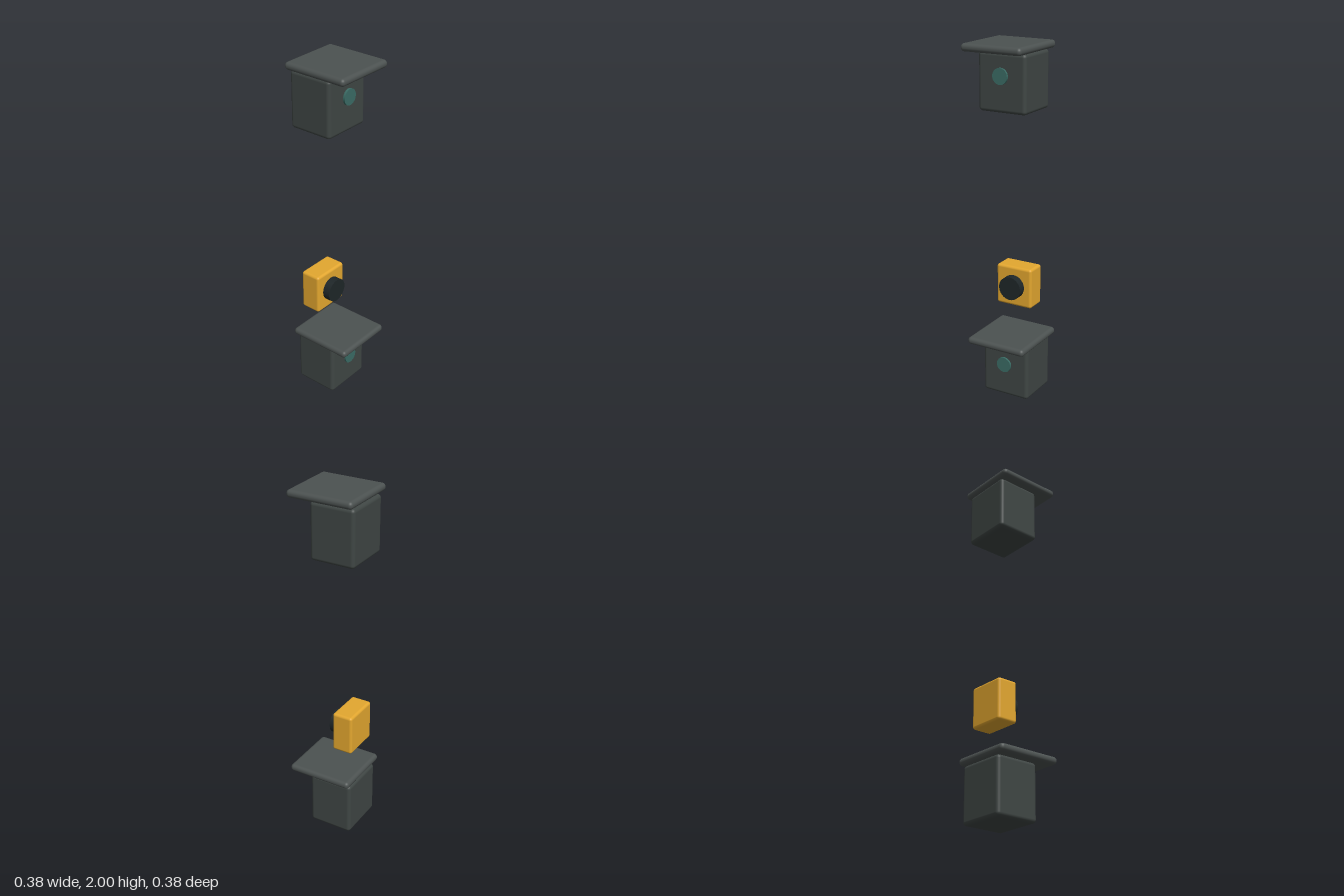
import * as THREE from 'three';
import { RoundedBoxGeometry } from 'three/addons/geometries/RoundedBoxGeometry.js';

const mat = (color) => new THREE.MeshStandardMaterial({ color });
const housingMat = mat(0x3f4644);
const roofMat = mat(0x4c5251);
const lensMat = mat(0x3a6b64);
const yellowMat = mat(0xe3a72f);
const darkMat = mat(0x1e2628);

// Rounded box given by its extents on each axis
function roundedBox(name, [x0, x1], [y0, y1], [z0, z1], radius, material) {
  const mesh = new THREE.Mesh(
    new RoundedBoxGeometry(x1 - x0, y1 - y0, z1 - z0, 4, radius), material);
  mesh.position.set((x0 + x1) / 2, (y0 + y1) / 2, (z0 + z1) / 2);
  mesh.name = name;
  return mesh;
}

// Disc whose axis runs along x
function disc(name, x0, x1, y, z, radius, material) {
  const geometry = new THREE.CylinderGeometry(radius, radius, x1 - x0, 32);
  geometry.rotateZ(-Math.PI / 2);
  const mesh = new THREE.Mesh(geometry, material);
  mesh.position.set((x0 + x1) / 2, y, z);
  mesh.name = name;
  return mesh;
}

// Signal head: housing, overhanging roof and a lens floating off its +x face
function signalHead(name, y, z) {
  const head = new THREE.Group();
  head.name = name;
  head.add(
    roundedBox('housing', [-0.184, 0.073], [0, 0.316], [-0.143, 0.143], 0.02, housingMat),
    roundedBox('roof', [-0.19, 0.19], [0.323, 0.365], [-0.179, 0.179], 0.02, roofMat),
    disc('lens', 0.08, 0.092, 0.196, 0, 0.044, lensMat));
  head.position.set(0, y, z);
  return head;
}

export function createModel() {
  const model = new THREE.Group();
  model.name = 'signalSet';
  model.add(signalHead('lowerHead', 0, -0.01), signalHead('upperHead', 1.635, 0.01));

  // Push button box with its round button
  const buttonBox = new THREE.Group();
  buttonBox.name = 'buttonBox';
  buttonBox.add(
    roundedBox('case', [-0.165, -0.044], [0.507, 0.741], [-0.107, 0.115], 0.015, yellowMat),
    disc('button', -0.05, 0, 0.625, 0.005, 0.068, darkMat));
  model.add(buttonBox);
  return model;
}
